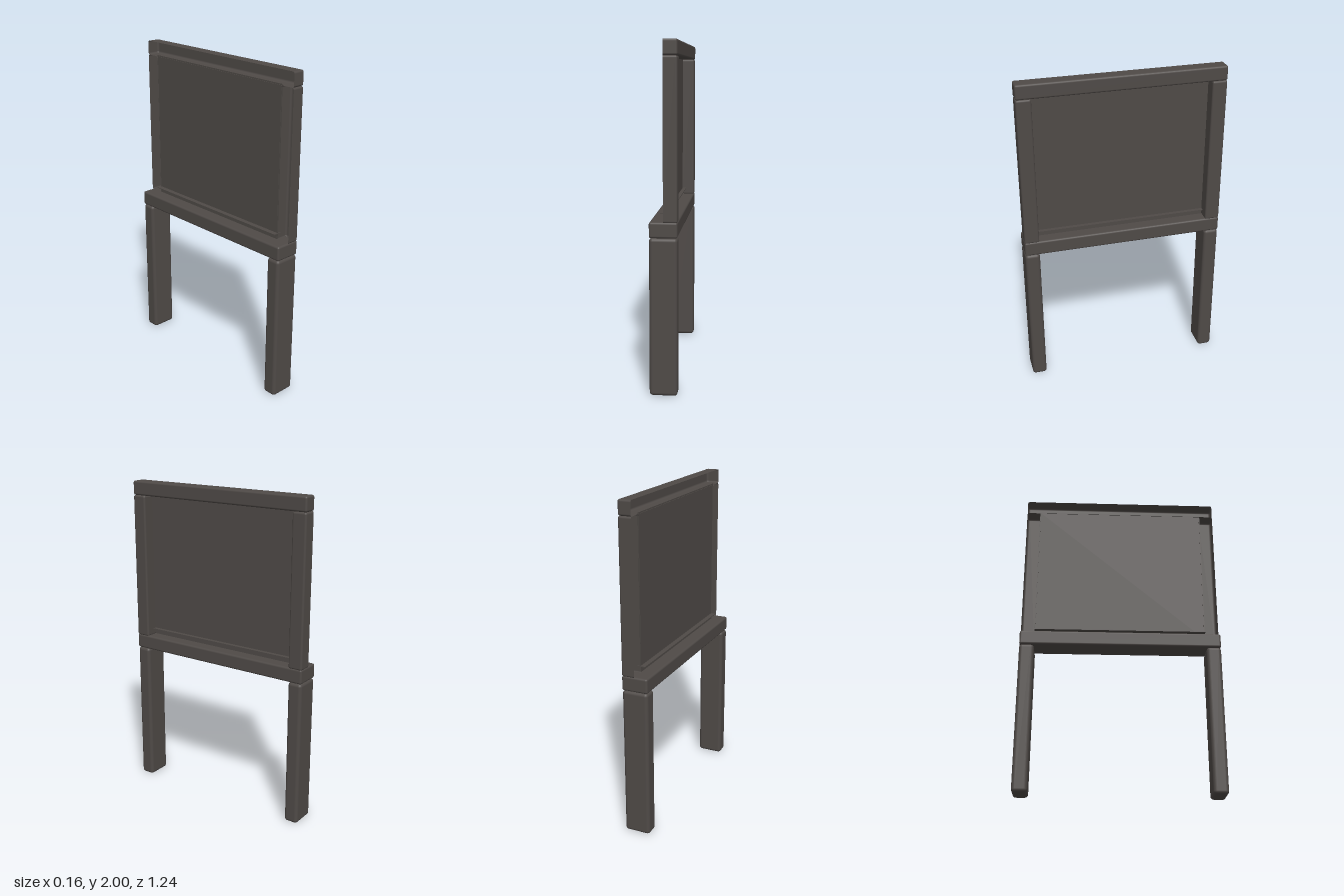
import * as THREE from 'three';
import { RoundedBoxGeometry } from 'three/addons/geometries/RoundedBoxGeometry.js';

const DEPTH = 0.16;   // full timber depth along x
const SPAN = 1.24;    // overall width along z
const POST = 0.09;    // post and rail thickness

// Softly rounded timber running from y0 to y1
function timber(y0, y1, width, radius) {
  const g = new RoundedBoxGeometry(DEPTH, y1 - y0, width, 3, radius);
  g.translate(0, (y0 + y1) / 2, 0);
  return g;
}

// Keep only the +x half of a timber, leaving its back open at x = 0
function halfTimber(y0, y1, width, radius) {
  const src = timber(y0, y1, width, radius).toNonIndexed();
  const p = src.attributes.position, n = src.attributes.normal;
  const pos = [], nor = [];
  for (let i = 0; i < p.count; i += 3) {
    const corners = [i, i + 1, i + 2];
    if (corners.every((k) => p.getX(k) <= 0)) continue;
    for (const k of corners) {
      pos.push(Math.max(p.getX(k), 0), p.getY(k), p.getZ(k));
      nor.push(n.getX(k), n.getY(k), n.getZ(k));
    }
  }
  const g = new THREE.BufferGeometry();
  g.setAttribute('position', new THREE.Float32BufferAttribute(pos, 3));
  g.setAttribute('normal', new THREE.Float32BufferAttribute(nor, 3));
  return g;
}

export function createModel() {
  const model = new THREE.Group();
  model.name = 'framedBoard';
  const wood = new THREE.MeshStandardMaterial({ color: 0x4f4a47, side: THREE.DoubleSide });
  wood.name = 'darkWood';

  const add = (name, geometry, z = 0) => {
    const mesh = new THREE.Mesh(geometry, wood);
    mesh.name = name;
    mesh.position.z = z;
    model.add(mesh);
    return mesh;
  };

  // Legs and upper posts on both ends
  for (const [side, s] of [['front', 1], ['back', -1]]) {
    const z = s * (SPAN - POST) / 2;
    add(side + 'Leg', timber(0, 0.915, POST, 0.02), z);
    add(side + 'Post', halfTimber(1.0, 1.912, POST, 0.012), z);
  }

  // Rails
  add('lowerRail', timber(0.915, 1.005, SPAN, 0.012));
  add('topRail', halfTimber(1.912, 2.0, SPAN, 0.012));

  // Thin board set in the back plane of the frame
  const board = new THREE.PlaneGeometry(1.07, 0.92);
  board.rotateY(Math.PI / 2);
  board.translate(0.003, 1.46, 0);
  add('board', board);

  // Narrow ledge along the foot of the board
  const ledge = new THREE.BoxGeometry(0.054, 0.004, 1.07);
  ledge.translate(0, 1.042, 0);
  add('ledge', ledge);

  return model;
}
